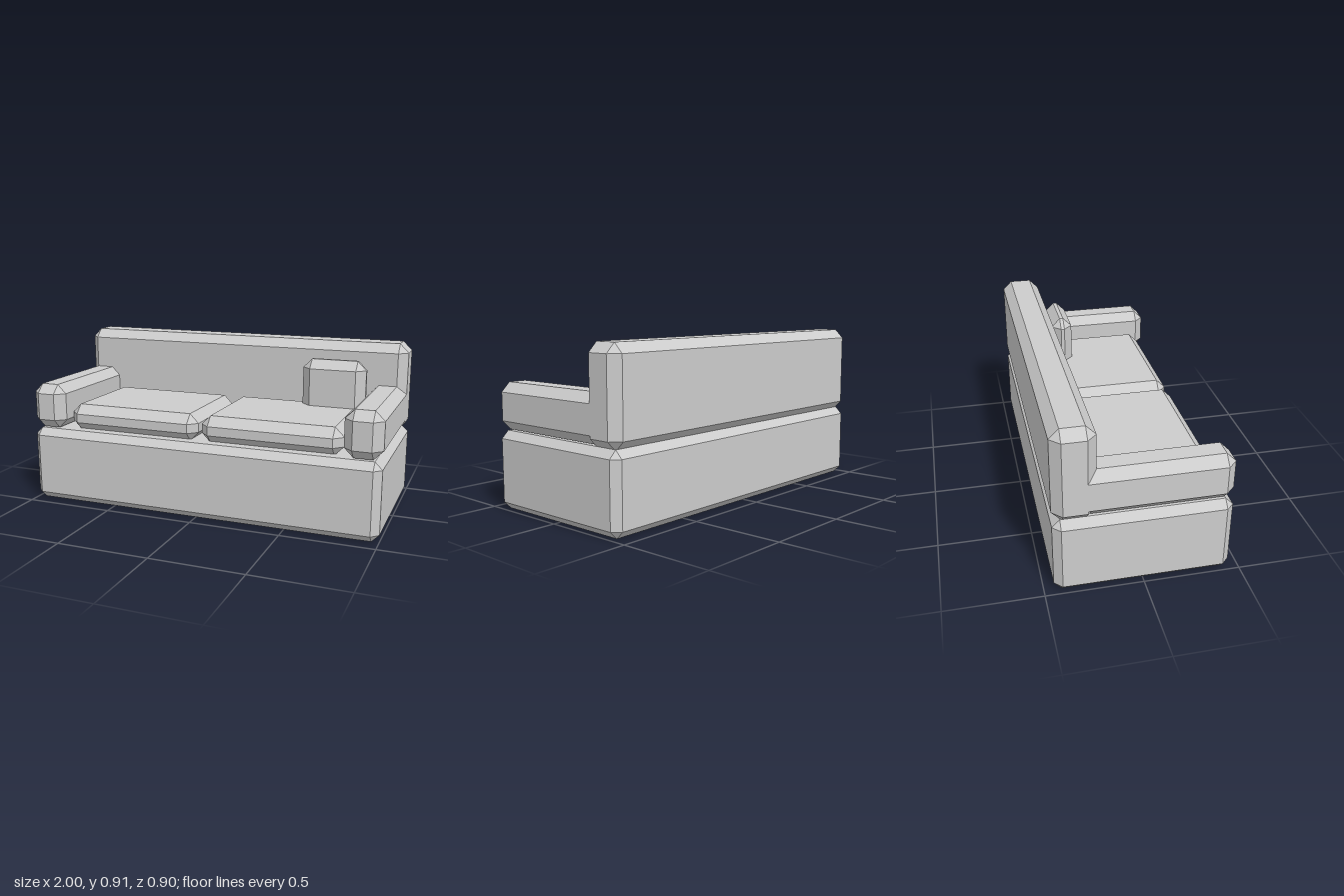
import * as THREE from 'three';
import { ConvexGeometry } from 'three/addons/geometries/ConvexGeometry.js';

const fabric = new THREE.MeshStandardMaterial({ color: 0xcccccc });
fabric.name = 'light grey fabric';

// Box between two corners with every edge cut at 45 degrees
function chamferedBox(name, min, max, cut) {
  const centre = min.map((v, i) => (v + max[i]) / 2);
  const half = min.map((v, i) => (max[i] - v) / 2);
  const points = [];
  for (const sx of [-1, 1]) for (const sy of [-1, 1]) for (const sz of [-1, 1]) {
    const signs = [sx, sy, sz];
    // each corner becomes three points, one on each adjoining face
    for (let face = 0; face < 3; face++) {
      points.push(new THREE.Vector3(
        ...signs.map((s, i) => s * (half[i] - (i === face ? 0 : cut)))
      ));
    }
  }
  const mesh = new THREE.Mesh(new ConvexGeometry(points), fabric);
  mesh.position.set(...centre);
  mesh.name = name;
  return mesh;
}

export function createModel() {
  const sofa = new THREE.Group();
  sofa.name = 'sofa';

  // Plinth and backrest
  sofa.add(chamferedBox('base', [-1, 0, -0.45], [1, 0.42, 0.45], 0.04));
  sofa.add(chamferedBox('backrest', [-1, 0.41, -0.45], [1, 0.91, -0.23], 0.05));

  // Mirrored arms and seat cushions
  for (const [side, s] of [['left', 1], ['right', -1]]) {
    const pair = (name, inner, outer, y0, y1, z0, z1) => chamferedBox(
      side + name,
      [Math.min(s * inner, s * outer), y0, z0],
      [Math.max(s * inner, s * outer), y1, z1], 0.05);
    sofa.add(pair('Arm', 0.8, 1, 0.425, 0.675, -0.35, 0.45));
    sofa.add(pair('SeatCushion', 0.01, 0.79, 0.41, 0.56, -0.23, 0.39));
  }

  // Small throw pillow standing on the left seat
  sofa.add(chamferedBox('throwPillow', [0.435, 0.5, -0.21], [0.795, 0.82, -0.09], 0.05));

  return sofa;
}
